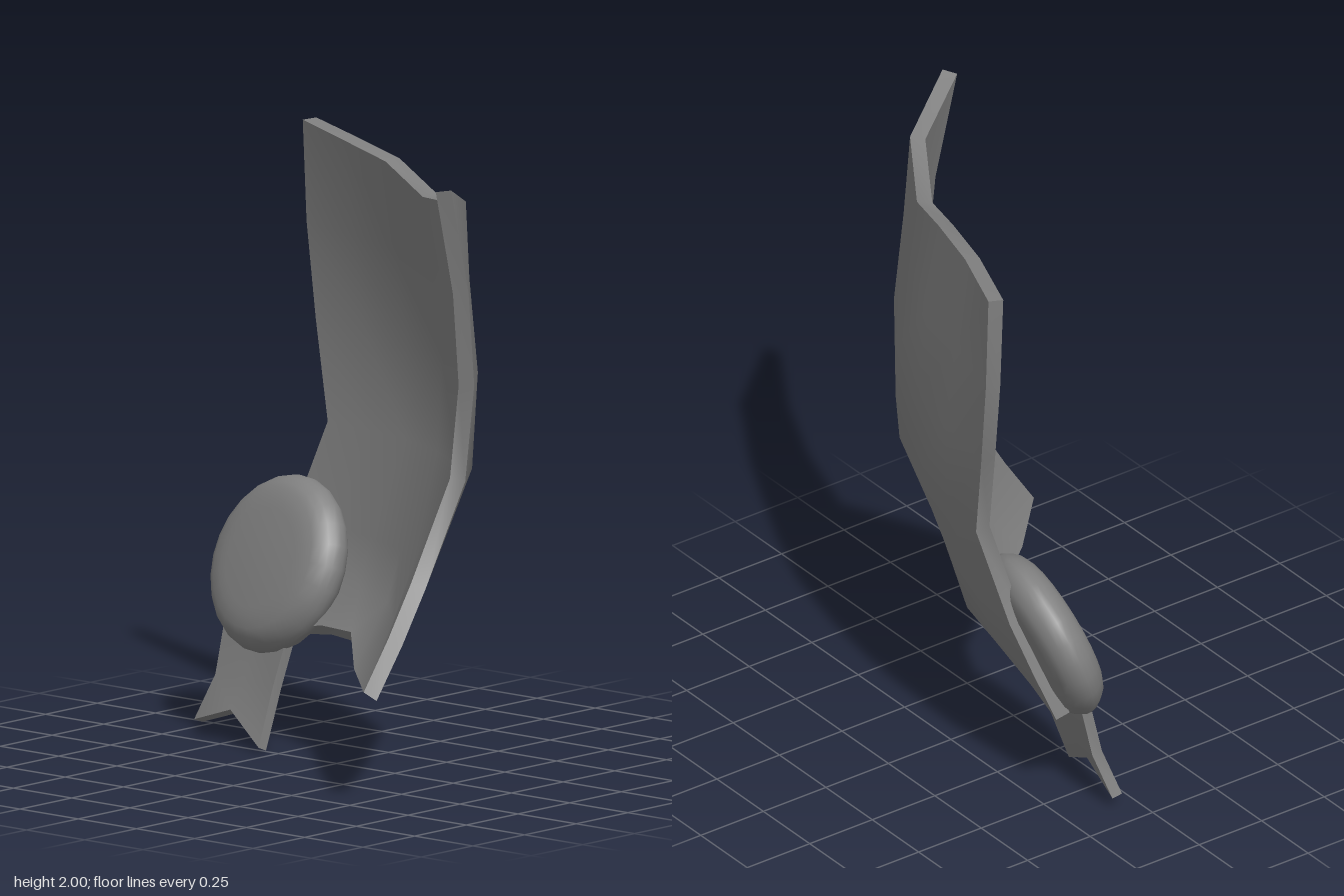
import * as THREE from 'three';
import { toCreasedNormals } from 'three/addons/utils/BufferGeometryUtils.js';

const grey = new THREE.MeshStandardMaterial({ color: 0x808080 });

// Thick sheet from rows (top to bottom) of [x, y, z] points (front to back).
function slab(rows, thickness) {
  const nr = rows.length, nc = rows[0].length, n = nr * nc;
  const at = (r, c) => r * nc + c;
  const quads = [];
  for (let r = 0; r < nr - 1; r++)
    for (let c = 0; c < nc - 1; c++)
      quads.push([at(r, c), at(r + 1, c), at(r + 1, c + 1), at(r, c + 1)]);
  const tris = ([a, b, c, d]) => [a, b, d, b, c, d];

  // middle surface, used only for its normals
  const mid = new THREE.BufferGeometry();
  mid.setAttribute('position', new THREE.Float32BufferAttribute(rows.flat(2), 3));
  mid.setIndex(quads.flatMap(tris));
  mid.computeVertexNormals();

  const positions = [];
  for (const side of [0.5, -0.5])
    for (let i = 0; i < n; i++) {
      const p = new THREE.Vector3().fromBufferAttribute(mid.attributes.position, i);
      const normal = new THREE.Vector3().fromBufferAttribute(mid.attributes.normal, i);
      positions.push(...p.addScaledVector(normal, side * thickness).toArray());
    }

  // outer face, inner face and rim
  const loop = [];
  for (let r = 0; r < nr - 1; r++) loop.push(at(r, 0));
  for (let c = 0; c < nc - 1; c++) loop.push(at(nr - 1, c));
  for (let r = nr - 1; r > 0; r--) loop.push(at(r, nc - 1));
  for (let c = nc - 1; c > 0; c--) loop.push(at(0, c));
  const index = quads.flatMap(tris);
  for (const q of quads) index.push(...tris(q).reverse().map((i) => i + n));
  loop.forEach((p, i) => {
    const q = loop[(i + 1) % loop.length];
    index.push(...tris([p, p + n, q + n, q]));
  });

  const geo = new THREE.BufferGeometry();
  geo.setAttribute('position', new THREE.Float32BufferAttribute(positions, 3));
  geo.setIndex(index);
  return toCreasedNormals(geo, 0.9);
}

export function createModel() {
  const group = new THREE.Group();
  const add = (name, geometry) => {
    const mesh = new THREE.Mesh(geometry, grey);
    mesh.name = name;
    group.add(mesh);
    return mesh;
  };

  // Curled parchment with a pinched waist and flared corners
  add('parchmentSheet', slab([
    [[-0.25, 2, 0.68], [-0.01, 1.91, 0.53], [0.17, 1.87, 0.25], [0.27, 1.94, 0], [0.35, 1.965, -0.25], [0.46, 1.98, -0.525]],
    [[-0.155, 1.65, 0.67], [0.03, 1.65, 0.51], [0.205, 1.65, 0.25], [0.31, 1.65, 0], [0.38, 1.65, -0.24], [0.46, 1.65, -0.51]],
    [[-0.105, 1.34, 0.65], [0.065, 1.34, 0.515], [0.245, 1.34, 0.265], [0.345, 1.34, 0.02], [0.39, 1.34, -0.2], [0.435, 1.34, -0.45]],
    [[-0.08, 1.02, 0.59], [0.1, 1.02, 0.46], [0.24, 1.02, 0.25], [0.33, 1.02, 0.03], [0.365, 1.02, -0.17], [0.39, 1.02, -0.36]],
    [[-0.27, 0.7, 0.59], [-0.05, 0.7, 0.4], [0.14, 0.7, 0.18], [0.245, 0.7, -0.04], [0.3, 0.7, -0.24], [0.33, 0.7, -0.46]],
    [[-0.37, 0.53, 0.58], [-0.12, 0.53, 0.38], [0.095, 0.53, 0.16], [0.205, 0.53, -0.06], [0.26, 0.53, -0.295], [0.28, 0.53, -0.515]],
    [[-0.475, 0.365, 0.565], [-0.25, 0.375, 0.32], [-0.01, 0.43, 0.09], [0.1, 0.41, -0.13], [0.17, 0.37, -0.36], [0.225, 0.36, -0.57]],
  ], 0.05));

  // Round wax seal with a fat rim, tilted to lie against the sheet
  const profile = new THREE.SplineCurve([
    [0.165, -0.095], [0.245, -0.08], [0.288, -0.035], [0.292, 0.01], [0.25, 0.055], [0.17, 0.07],
  ].map(([x, y]) => new THREE.Vector2(x, y))).getPoints(12);
  const seal = add('waxSeal', toCreasedNormals(new THREE.LatheGeometry(
    [new THREE.Vector2(0, -0.095), ...profile, new THREE.Vector2(0, 0.07)], 24), 0.6));
  seal.position.set(0.195, 0.575, -0.41);
  seal.quaternion.setFromUnitVectors(new THREE.Vector3(0, -1, 0),
    new THREE.Vector3(-0.92, 0.35, -0.16).normalize());

  // Swallow-tailed ribbon hanging below the seal
  add('ribbonTail', slab([
    [[0.11, 0.42, -0.275], [0.14, 0.42, -0.44], [0.165, 0.42, -0.6]],
    [[0.065, 0.2, -0.315], [0.09, 0.2, -0.46], [0.115, 0.2, -0.605]],
    [[-0.005, 0.012, -0.315], [0.045, 0.108, -0.48], [0.075, 0.05, -0.66]],
  ], 0.035));

  return group;
}
